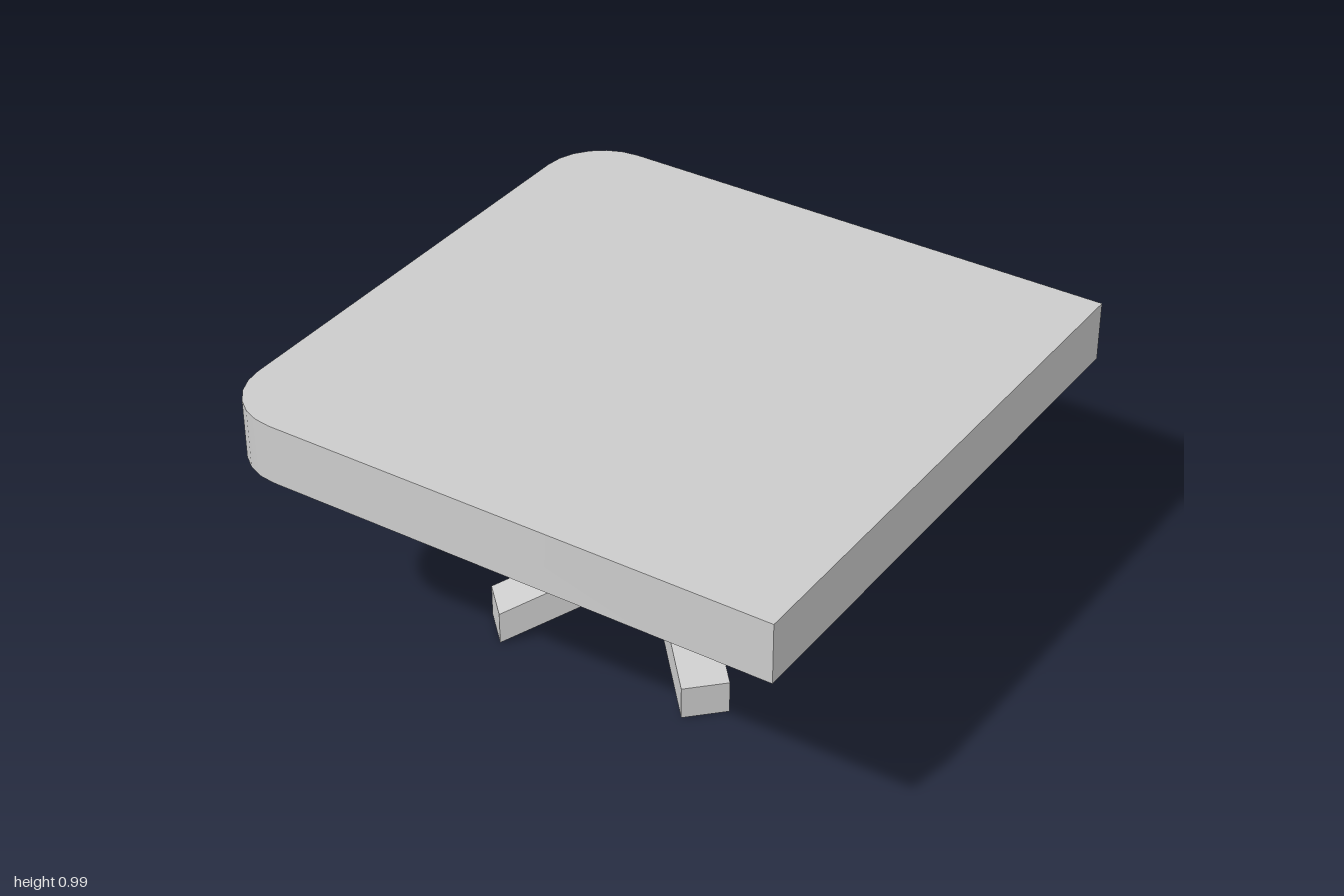
import * as THREE from 'three';
import { toCreasedNormals } from 'three/addons/utils/BufferGeometryUtils.js';

const material = new THREE.MeshStandardMaterial({ color: 0xcccccc });

function addPart(parent, name, geometry) {
  const mesh = new THREE.Mesh(geometry, material);
  mesh.name = name;
  parent.add(mesh);
  return mesh;
}

// Square slab with the two corners on the -x side rounded
function tabletopGeometry() {
  const r = 0.22, bottom = 0.785, top = 0.993;
  const shape = new THREE.Shape();
  shape.moveTo(1, -1);
  shape.lineTo(1, 1);
  shape.lineTo(-1 + r, 1);
  shape.absarc(-1 + r, 1 - r, r, Math.PI / 2, Math.PI, false);
  shape.lineTo(-1, -1 + r);
  shape.absarc(-1 + r, -1 + r, r, Math.PI, Math.PI * 1.5, false);
  shape.closePath();
  const geometry = new THREE.ExtrudeGeometry(shape, {
    depth: top - bottom, bevelEnabled: false, curveSegments: 3,
  });
  geometry.rotateX(-Math.PI / 2).translate(0, bottom, 0);
  return toCreasedNormals(geometry, 0.7);
}

// Eight-sided bulging column
function columnGeometry() {
  const profile = [
    [0, 0.17], [0.16, 0.17], [0.19, 0.28], [0.213, 0.415],
    [0.205, 0.52], [0.16, 0.785], [0, 0.785],
  ].map(([r, y]) => new THREE.Vector2(r, y));
  return toCreasedNormals(new THREE.LatheGeometry(profile, 8), 1);
}

// Sloping leg with a vertical end, running out along +x
function legGeometry() {
  const inner = 0.08, outer = 0.573, height = 0.115, width = 0.156;
  const rise = (outer - inner) * 0.39;
  const shape = new THREE.Shape([
    new THREE.Vector2(inner, rise),
    new THREE.Vector2(outer, 0),
    new THREE.Vector2(outer, height),
    new THREE.Vector2(inner, rise + height),
  ]);
  return new THREE.ExtrudeGeometry(shape, { depth: width, bevelEnabled: false })
    .translate(0, 0, -width / 2);
}

export function createModel() {
  const table = new THREE.Group();
  table.name = 'pedestalTable';
  addPart(table, 'tabletop', tabletopGeometry());
  addPart(table, 'column', columnGeometry());

  // Four legs on the diagonals
  const leg = legGeometry();
  ['backLeftLeg', 'backRightLeg', 'frontRightLeg', 'frontLeftLeg'].forEach((name, i) => {
    addPart(table, name, leg).rotation.y = Math.PI / 4 + i * Math.PI / 2;
  });
  return table;
}
